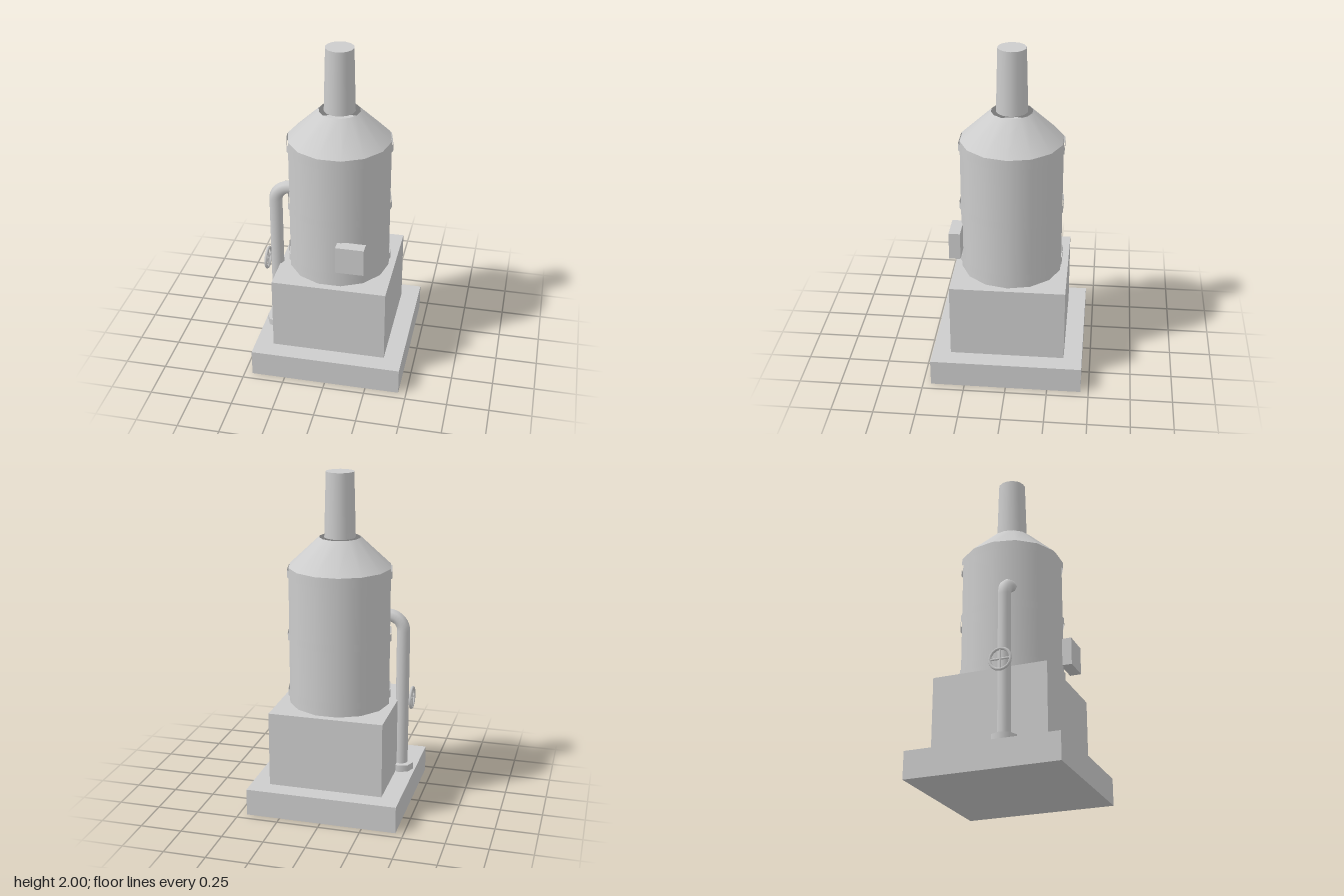
import * as THREE from 'three';

export function createModel() {
  const model = new THREE.Group();
  model.name = 'boiler';
  const grey = new THREE.MeshStandardMaterial({ color: 0xcccccc, side: THREE.DoubleSide });
  grey.name = 'plain grey';

  const add = (name, geometry, x = 0, y = 0, z = 0, parent = model) => {
    const mesh = new THREE.Mesh(geometry, grey);
    mesh.name = name;
    mesh.position.set(x, y, z);
    parent.add(mesh);
    return mesh;
  };

  // Upright round part between two heights, with a corner on the x axis
  const drum = (name, rTop, rBottom, y0, y1, sides, open = false, x = 0, z = 0) =>
    add(name, new THREE.CylinderGeometry(rTop, rBottom, y1 - y0, sides, 1, open).rotateY(Math.PI / 2),
      x, (y0 + y1) / 2, z);

  // Stepped square base
  add('baseSlab', new THREE.BoxGeometry(0.905, 0.162, 0.905), 0, 0.081, 0);
  add('plinth', new THREE.BoxGeometry(0.685, 0.453, 0.685), 0, 0.3885, 0);

  // Boiler body, open-topped cone and chimney
  drum('boilerBody', 0.305, 0.305, 0.615, 1.447, 14);
  drum('cone', 0.122, 0.305, 1.447, 1.62, 14, true);
  drum('chimney', 0.083, 0.093, 1.62, 2, 14);

  // Thin hoops round the body
  for (const y of [0.683, 1.034, 1.413]) drum('hoop', 0.314, 0.314, y - 0.022, y + 0.022, 14, true);

  // Firebox door
  add('door', new THREE.BoxGeometry(0.168, 0.168, 0.068), 0.13, 0.831, 0.321);

  // Side pipe with elbow and foot flange
  const px = -0.365, pz = 0.1;
  const path = new THREE.CurvePath();
  const v = (x, y) => new THREE.Vector3(x, y, pz);
  path.add(new THREE.LineCurve3(v(px, 0.16), v(px, 1.05)));
  path.add(new THREE.CubicBezierCurve3(v(px, 1.05), v(px, 1.1), v(px + 0.04, 1.14), v(-0.272, 1.14)));
  const pipe = new THREE.TubeGeometry(path, 64, 0.04, 8, false);
  add('sidePipe', pipe);
  drum('pipeFlange', 0.075, 0.075, 0.16, 0.204, 8, false, px, pz);

  // Valve handwheel with crossed spokes
  const wheel = new THREE.Group();
  wheel.name = 'handwheel';
  wheel.position.set(-0.425, 0.63, pz);
  wheel.rotation.y = Math.PI / 2;
  model.add(wheel);
  add('wheelRim', new THREE.TorusGeometry(0.062, 0.009, 6, 16), 0, 0, 0, wheel);
  for (const angle of [0, Math.PI / 2]) {
    add('wheelSpoke', new THREE.CylinderGeometry(0.006, 0.006, 0.124, 6), 0, 0, 0, wheel).rotation.z = angle;
  }

  return model;
}
